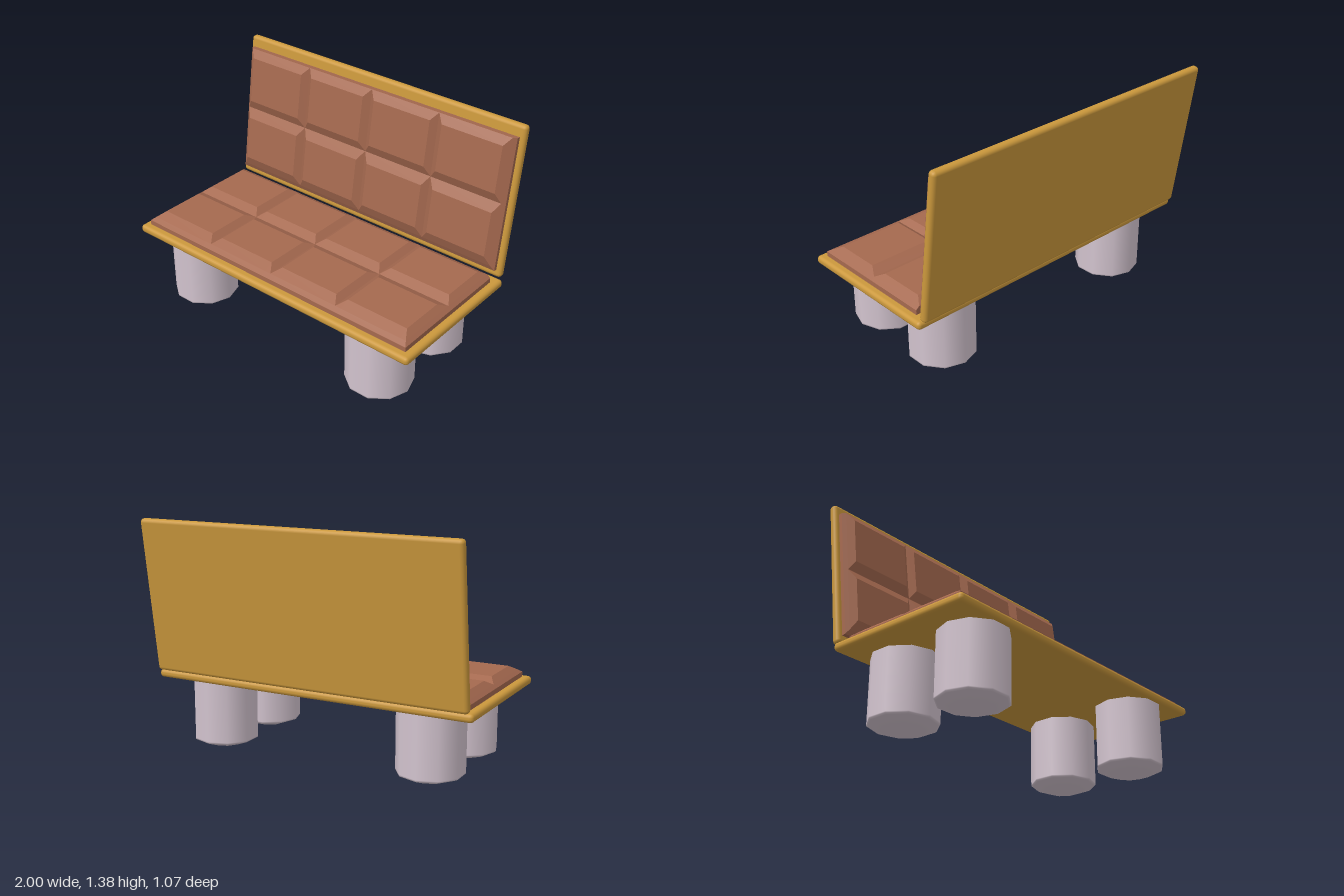
import * as THREE from 'three';
import { RoundedBoxGeometry } from 'three/addons/geometries/RoundedBoxGeometry.js';

const EDGE = 0.03, GROOVE = 0.047, TOP = 0.076;

// Grid lines of the padded slab as [position, height]; the height at a crossing is the lower of the two
const leftLines = [[-0.955, 0], [-0.955, EDGE], [-0.935, GROOVE], [-0.9, TOP],
  [-0.51, TOP], [-0.468, GROOVE], [-0.43, TOP], [-0.04, TOP]];
const xLines = [...leftLines, [0, GROOVE], ...leftLines.map(([p, h]) => [-p, h]).reverse()];
const zLines = [[-0.4, 0], [-0.4, GROOVE], [-0.35, TOP], [-0.07, TOP], [-0.015, GROOVE],
  [0.045, TOP], [0.315, TOP], [0.372, GROOVE], [0.4, EDGE], [0.4, 0]];

// Slab of 4 x 2 bevelled blocks with mitred corners
function blockSlab() {
  const pos = [];
  const point = (i, j) => [xLines[i][0], Math.min(xLines[i][1], zLines[j][1]), zLines[j][0]];
  for (let i = 0; i < xLines.length - 1; i++) {
    for (let j = 0; j < zLines.length - 1; j++) {
      const a = point(i, j), b = point(i, j + 1), c = point(i + 1, j + 1), d = point(i + 1, j);
      // split along the higher diagonal so that ridges run to the block corners
      if (a[1] + c[1] >= b[1] + d[1]) pos.push(...a, ...b, ...c, ...a, ...c, ...d);
      else pos.push(...a, ...b, ...d, ...b, ...c, ...d);
    }
  }
  const g = new THREE.BufferGeometry();
  g.setAttribute('position', new THREE.Float32BufferAttribute(pos, 3));
  g.computeVertexNormals();
  return g;
}

function add(parent, name, geometry, material, x, y, z) {
  const mesh = new THREE.Mesh(geometry, material);
  mesh.name = name;
  mesh.position.set(x, y, z);
  parent.add(mesh);
  return mesh;
}

export function createModel() {
  const gold = new THREE.MeshStandardMaterial({ name: 'golden board', color: 0xcb983c });
  const brown = new THREE.MeshStandardMaterial({ name: 'brown blocks', color: 0xa5694f });
  const lilac = new THREE.MeshStandardMaterial({ name: 'pale lilac', color: 0xd3c4cf });
  const model = new THREE.Group();
  model.name = 'bench';
  const slab = blockSlab();

  // Seat
  add(model, 'seatBoard', new RoundedBoxGeometry(2, 0.05, 0.92, 2, 0.022), gold, 0, 0.449, 0.077);
  add(model, 'seatBlocks', slab, brown, 0, 0.473, 0.09);

  // Backrest, leaning backwards
  const back = new THREE.Group();
  back.name = 'backrest';
  back.position.set(0, 0.478, -0.388);
  back.rotation.x = -0.134;
  model.add(back);
  add(back, 'backBoard', new RoundedBoxGeometry(1.97, 0.916, 0.051, 2, 0.022), gold, 0, 0.458, 0);
  add(back, 'backBlocks', slab, brown, 0, 0.448, 0.018).rotation.x = Math.PI / 2;

  // Ten-sided legs with domed feet
  const profile = [[0, 0.003], [0.1, 0.013], [0.185, 0.046], [0.195, 0.052], [0.195, 0.06], [0.195, 0.43]]
    .map(([r, y]) => new THREE.Vector2(r, y));
  const frontLeg = new THREE.LatheGeometry(profile, 10, Math.PI / 2);
  const rearLeg = new THREE.LatheGeometry(profile, 10, 0);
  for (const [side, x] of [['Left', 0.675], ['Right', -0.675]]) {
    add(model, 'front' + side + 'Leg', frontLeg, lilac, x, 0, 0.323);
    add(model, 'rear' + side + 'Leg', rearLeg, lilac, x, 0, -0.165);
  }
  return model;
}
